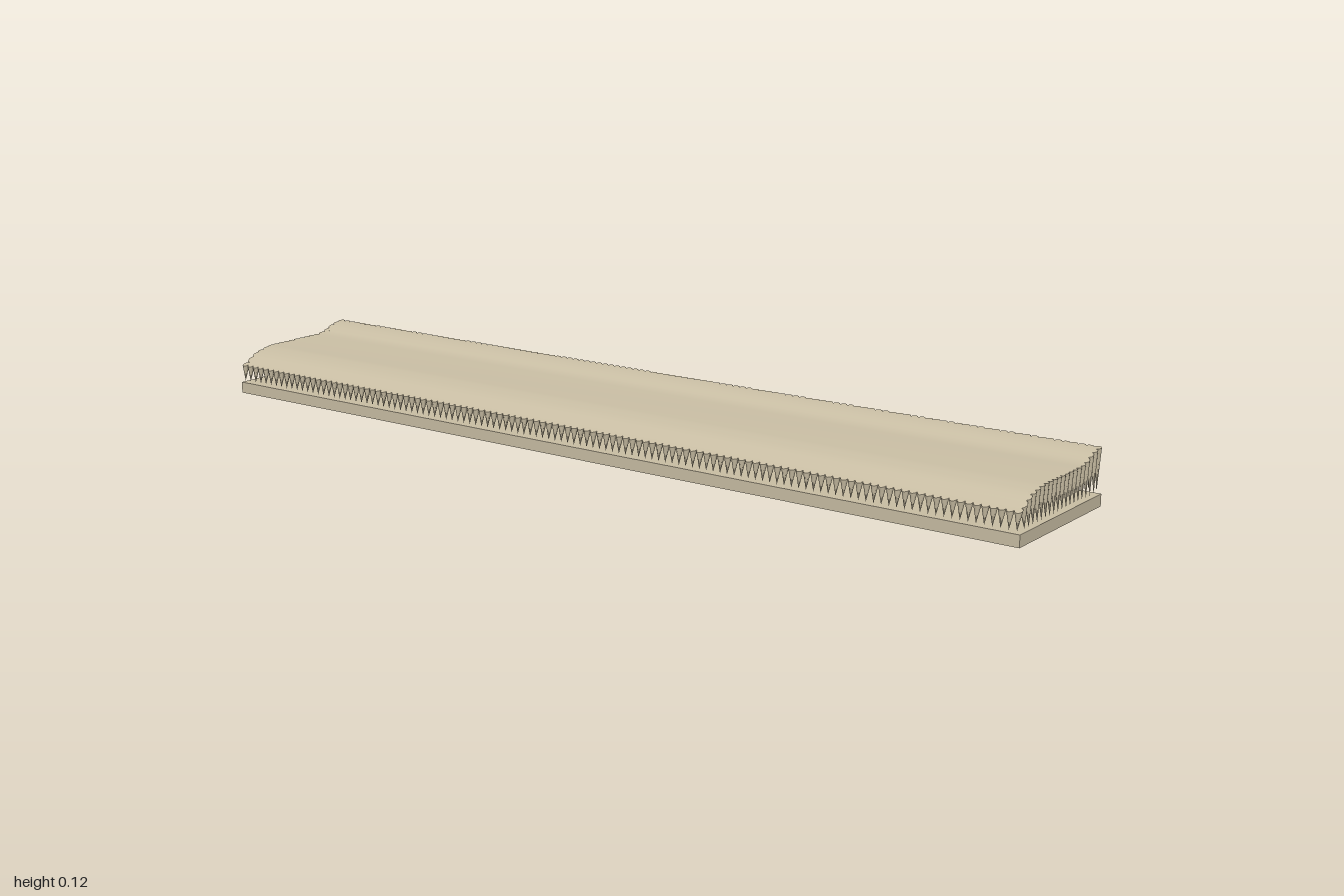
import * as THREE from 'three';
import { mergeGeometries, toCreasedNormals } from 'three/addons/utils/BufferGeometryUtils.js';

// Cover section: [z, y] from back to front
const PROFILE = [
  [-0.167, 0.118], [-0.15, 0.116], [-0.135, 0.113], [-0.12, 0.108], [-0.108, 0.102],
  [-0.095, 0.099], [-0.08, 0.097], [0.07, 0.097], [0.085, 0.095], [0.1, 0.092],
  [0.118, 0.088], [0.135, 0.08], [0.15, 0.07], [0.167, 0.064],
];
const HALF_DEPTH = 0.167;
const TOOTH = 2 / 120;
const TIP_Y = 0.029;

function coverHeight(z) {
  const c = THREE.MathUtils.clamp(z, -HALF_DEPTH, HALF_DEPTH);
  for (let i = 1; i < PROFILE.length; i++) {
    const [z0, y0] = PROFILE[i - 1], [z1, y1] = PROFILE[i];
    if (c <= z1) return y0 + (y1 - y0) * (c - z0) / (z1 - z0);
  }
  return PROFILE[PROFILE.length - 1][1];
}

// Downward spike whose broad top follows the cover section
function spike(x, z, outX, outZ) {
  const geo = new THREE.ConeGeometry(TOOTH / 2, 1, 8, 1);
  geo.rotateX(Math.PI);
  const p = geo.attributes.position;
  for (let i = 0; i < p.count; i++) {
    const tip = p.getY(i) < 0;
    const px = x + p.getX(i) + (tip ? outX * 0.004 : 0);
    const pz = z + p.getZ(i) + (tip ? outZ * 0.004 : 0);
    p.setXYZ(i, px, tip ? TIP_Y : coverHeight(pz), pz);
  }
  return toCreasedNormals(geo, 0.9);
}

export function createModel() {
  const group = new THREE.Group();
  const beige = new THREE.MeshStandardMaterial({ color: 0xc8bda3 });
  const add = (name, geo) => {
    const mesh = new THREE.Mesh(geo, beige);
    mesh.name = name;
    group.add(mesh);
  };

  // Flat base board
  const base = new THREE.BoxGeometry(2, 0.025, 2 * HALF_DEPTH);
  base.translate(0, 0.0125, 0);
  add('baseBoard', base);

  // Thin curved cover sheet, ending inside the rows of spikes
  const edge = HALF_DEPTH - TOOTH * 0.4;
  const zs = [-edge, ...PROFILE.slice(1, -1).map(([z]) => z), edge];
  const upper = zs.map(z => new THREE.Vector2(-z, coverHeight(z)));
  const lower = zs.map(z => new THREE.Vector2(-z, coverHeight(z) - 0.003)).reverse();
  const length = 2 - TOOTH * 0.8;
  const sheet = new THREE.ExtrudeGeometry(new THREE.Shape([...upper, ...lower]),
    { depth: length, bevelEnabled: false });
  sheet.translate(0, 0, -length / 2);
  sheet.rotateY(Math.PI / 2);
  // Shape x was -z; the quarter turn sends shape x to -z
  add('curvedCover', toCreasedNormals(sheet, 0.7));

  // Fringe of spikes on all four edges
  const front = [], back = [], left = [], right = [];
  const rowZ = HALF_DEPTH - TOOTH / 2, rowX = 1 - TOOTH / 2;
  for (let i = 0; i < 120; i++) {
    const x = -1 + (i + 0.5) * TOOTH;
    front.push(spike(x, rowZ, 0, 1));
    back.push(spike(x, -rowZ, 0, -1));
  }
  for (let i = 1; i < 19; i++) {
    const z = -rowZ + (2 * rowZ * i) / 19;
    left.push(spike(rowX, z, 1, 0));
    right.push(spike(-rowX, z, -1, 0));
  }
  add('frontFringe', mergeGeometries(front));
  add('backFringe', mergeGeometries(back));
  add('leftFringe', mergeGeometries(left));
  add('rightFringe', mergeGeometries(right));
  return group;
}
